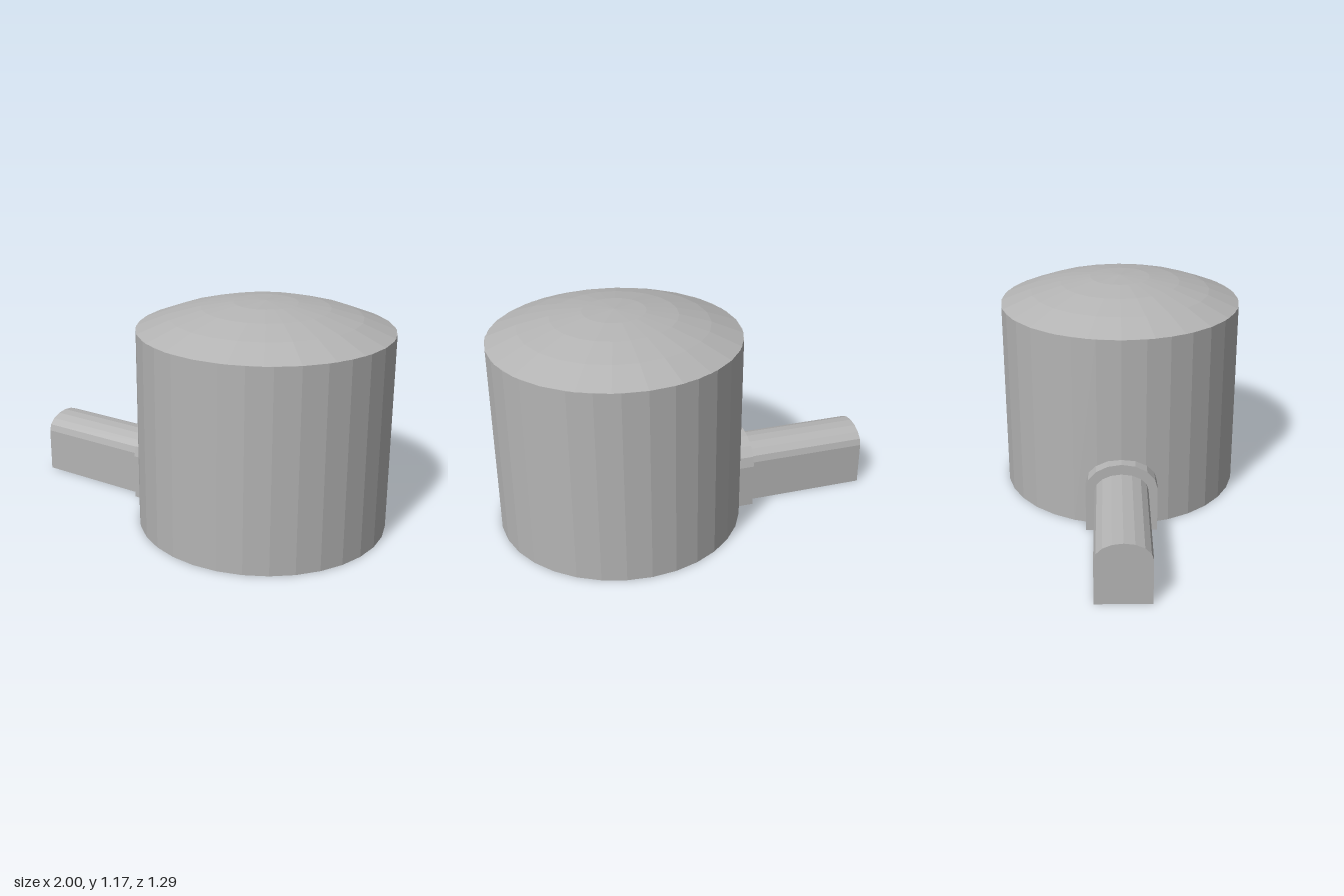
import * as THREE from 'three';

const CENTER_X = 0.355, RADIUS = 0.645, WALL = 1.03, TOP = 1.17;

// Faceted copy: every face gets its own normal
function faceted(geometry) {
  const flat = geometry.toNonIndexed();
  flat.computeVertexNormals();
  return flat;
}

// Straight-sided block with a low arched top, running along x
function archBlock(halfWidth, spring, height, x0, x1) {
  const shape = new THREE.Shape();
  shape.moveTo(-halfWidth, 0);
  shape.lineTo(halfWidth, 0);
  const steps = 8;
  for (let i = 0; i <= steps; i++) {
    const a = (i / steps) * Math.PI;
    shape.lineTo(halfWidth * Math.cos(a), spring + (height - spring) * Math.sin(a));
  }
  shape.closePath();
  const geometry = new THREE.ExtrudeGeometry(shape, { depth: x1 - x0, bevelEnabled: false });
  geometry.rotateY(-Math.PI / 2);
  geometry.translate(x1, 0, 0);
  return geometry;
}

export function createModel() {
  const group = new THREE.Group();
  const grey = new THREE.MeshStandardMaterial({ color: 0xb4b4b4 });
  grey.name = 'plain grey';

  const add = (name, geometry) => {
    const mesh = new THREE.Mesh(geometry, grey);
    mesh.name = name;
    group.add(mesh);
    return mesh;
  };

  // Round wall
  const drum = new THREE.CylinderGeometry(RADIUS, RADIUS, WALL, 32);
  drum.translate(CENTER_X, WALL / 2, 0);
  add('drumWall', faceted(drum));

  // Shallow spherical roof in four rings
  const rise = TOP - WALL;
  const sphere = (RADIUS * RADIUS + rise * rise) / (2 * rise);
  const profile = [];
  for (let i = 4; i >= 0; i--) {
    const r = (RADIUS * i) / 4;
    profile.push(new THREE.Vector2(r, TOP - sphere + Math.sqrt(sphere * sphere - r * r)));
  }
  const dome = new THREE.LatheGeometry(profile, 24);
  dome.translate(CENTER_X, 0, 0);
  add('domeRoof', faceted(dome));

  // Arched entrance passage and the collar where it meets the wall
  add('entrancePassage', archBlock(0.138, 0.235, 0.325, -1, -0.2));
  add('entranceCollar', archBlock(0.185, 0.24, 0.38, -0.345, -0.2));

  return group;
}
